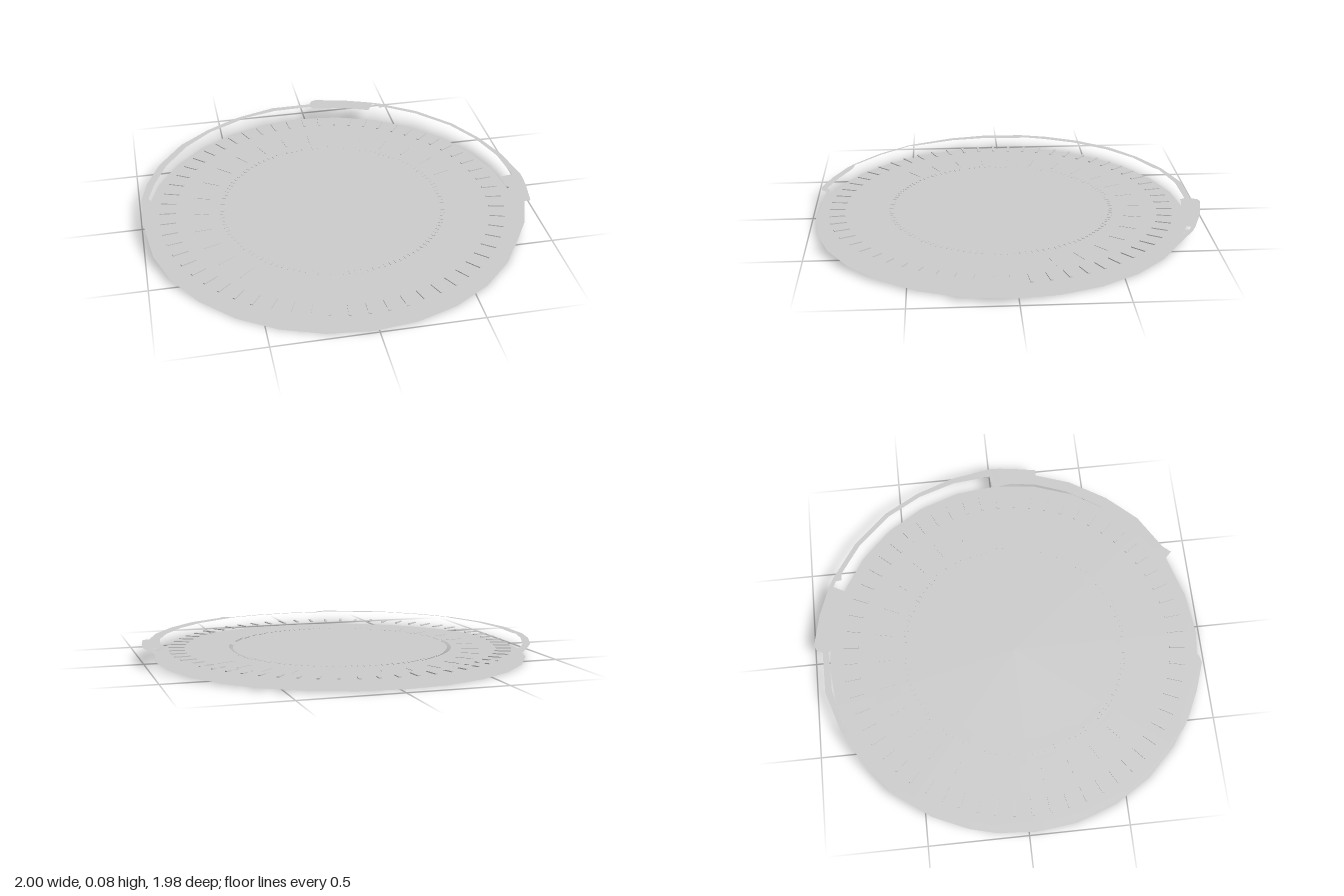
import * as THREE from 'three';

const material = new THREE.MeshStandardMaterial({ color: 0xcccccc, flatShading: true, side: THREE.DoubleSide });
const RAD = Math.PI / 180;

// Flat band from rows of [degrees, inner radius, outer radius]; angles run counterclockwise seen from above
function band(name, rows, y) {
  const pos = [], index = [];
  rows.forEach(([deg, inner, outer], i) => {
    const c = Math.cos(deg * RAD), s = -Math.sin(deg * RAD);
    pos.push(inner * c, 0, inner * s, outer * c, 0, outer * s);
    if (i > 0) {
      const a = 2 * i - 2;
      index.push(a, a + 1, a + 3, a, a + 3, a + 2);
    }
  });
  const geo = new THREE.BufferGeometry();
  geo.setAttribute('position', new THREE.Float32BufferAttribute(pos, 3));
  geo.setIndex(index);
  geo.computeVertexNormals();
  const mesh = new THREE.Mesh(geo, material);
  mesh.name = name;
  mesh.position.y = y;
  return mesh;
}

// Even band between two angles
function arc(name, from, to, steps, inner, outer, y) {
  const rows = [];
  for (let i = 0; i <= steps; i++) rows.push([from + (to - from) * i / steps, inner, outer]);
  return band(name, rows, y);
}

// Row of radial bars
function ticks(name, from, step, count, inner, outer, width, height, y) {
  const group = new THREE.Group();
  group.name = name;
  const geo = new THREE.BoxGeometry(outer - inner, height, width);
  geo.translate((inner + outer) / 2, y, 0);
  for (let i = 0; i < count; i++) {
    const bar = new THREE.Mesh(geo, material);
    bar.name = 'tick';
    bar.rotation.y = (from + i * step) * RAD;
    group.add(bar);
  }
  return group;
}

export function createModel() {
  const model = new THREE.Group();
  model.name = 'layeredDial';

  // Everything except the floating rim shares this slightly offset centre
  const dial = new THREE.Group();
  dial.name = 'dial';
  dial.position.set(-0.025, 0, 0.028);
  model.add(dial);

  // Base plate
  const base = new THREE.Mesh(new THREE.CircleGeometry(0.96, 28), material);
  base.name = 'basePlate';
  base.rotation.x = -Math.PI / 2;
  dial.add(base);

  // Segmented middle band, open at the front right
  dial.add(arc('middleBand', 5, 228, 13, 0.63, 0.765, 0.02));
  dial.add(ticks('middleSeparators', 18, 12, 18, 0.635, 0.725, 0.004, 0.002, 0.022));

  // Inner band with a stepped inner edge
  const innerRows = [];
  for (let deg = 0; deg <= 360; deg += 5) {
    let r = 0.497;
    if (deg >= 100 && deg <= 135) r = 0.5 - (deg >= 110 && deg <= 130 ? 0.02 : 0);
    if (deg >= 210 && deg <= 325) r = 0.528;
    innerRows.push([deg, r, 0.558]);
  }
  dial.add(band('innerBand', innerRows, 0.035));
  dial.add(ticks('innerTicks', 0, 3, 120, 0.556, 0.578, 0.004, 0.002, 0.035));

  // Two short accent arcs at the front left
  dial.add(arc('thinAccentArc', 184, 236, 10, 0.592, 0.612, 0.03));
  dial.add(arc('wideAccentArc', 236, 261, 6, 0.588, 0.63, 0.035));

  // Floating outer ticks
  dial.add(ticks('outerTicks', 0, 6, 60, 0.805, 0.885, 0.013, 0.005, 0.04));

  // Floating rim with stepped thick and thin runs
  model.add(band('floatingRim', [
    [0, 0.955, 1.0], [12, 0.956, 0.985], [24, 0.955, 0.978], [36, 0.956, 0.98], [50, 0.955, 0.981],
    [61, 0.955, 0.98], [63, 0.94, 0.985], [64, 0.965, 0.985], [66, 0.965, 0.985], [66.3, 0.895, 0.986],
    [76, 0.9, 0.99], [85.5, 0.9, 1.0], [87, 0.9, 0.99], [88, 0.925, 0.955], [101, 0.935, 0.97],
    [113.5, 0.945, 0.968], [115.5, 0.935, 0.968], [127, 0.945, 0.972], [139, 0.948, 0.985],
    [152, 0.952, 0.99], [163, 0.955, 0.995], [171, 0.963, 0.998], [172, 0.952, 0.998], [184, 0.955, 0.998],
    [196, 0.962, 0.995], [209, 0.97, 0.995], [212, 0.985, 0.997], [224, 0.978, 0.995], [236, 0.985, 0.998],
    [239, 0.962, 0.998], [248, 0.958, 0.995], [257, 0.965, 1.0], [259, 0.94, 0.985], [260, 0.938, 0.955],
    [270, 0.936, 0.952], [282, 0.938, 0.953], [293, 0.942, 0.957], [294, 0.935, 1.0], [297, 0.93, 0.978],
    [309, 0.925, 0.985], [321, 0.918, 0.976], [334, 0.915, 0.973], [345, 0.914, 0.968], [345.5, 0.912, 1.0],
    [353, 0.905, 0.998], [357, 0.892, 1.0], [359.5, 0.892, 1.0], [360, 0.94, 1.0],
  ], 0.08));

  return model;
}
